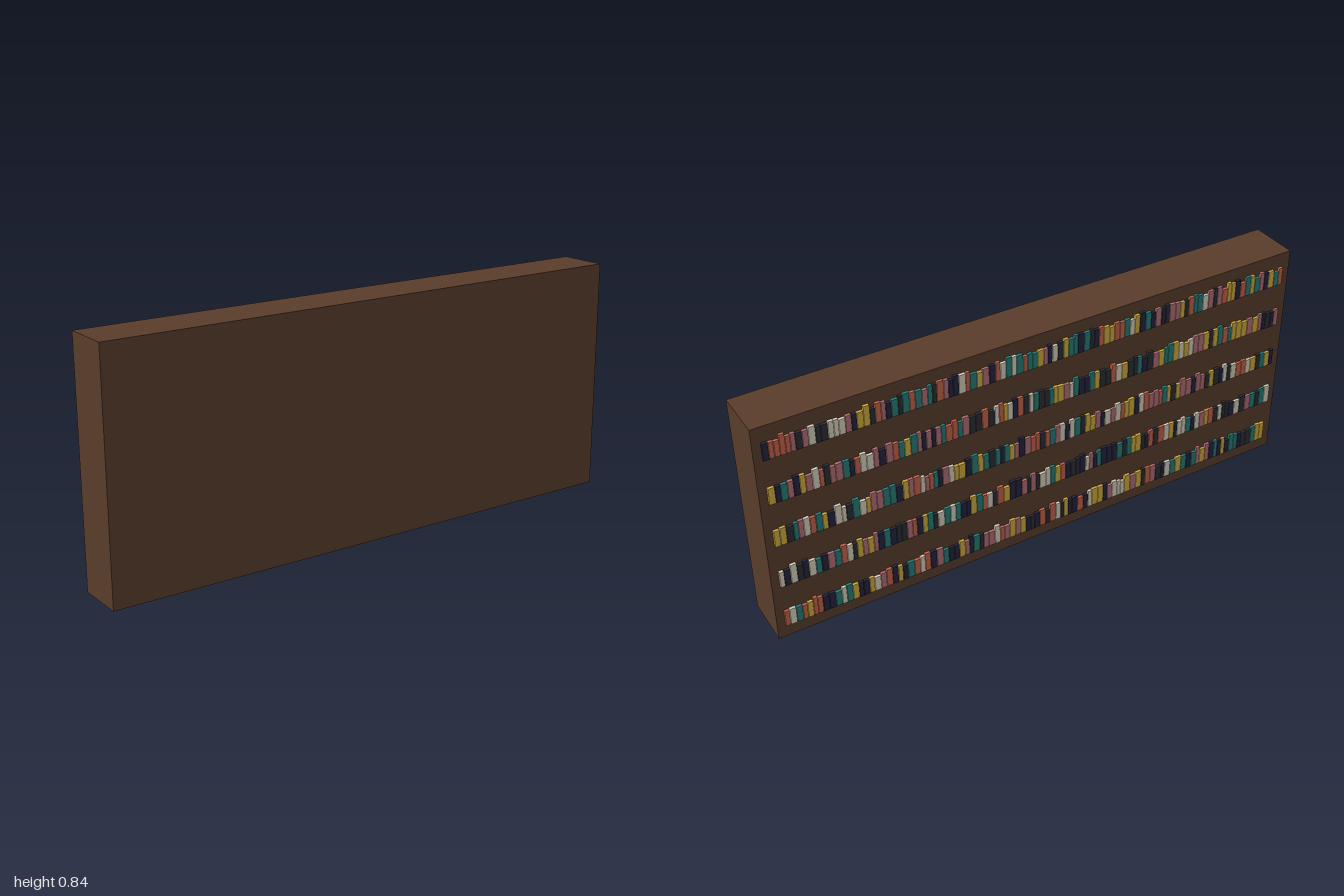
import * as THREE from 'three';

const CASE = { width: 2, height: 0.84, front: 0.095, back: -0.083 };
const ROWS = 5, ROW_BASE = 0.05, ROW_STEP = 0.168;
const BOOK_FACE = -0.093, BOOK_DEPTH = 0.04;

// navy, yellow, cream, coral, teal, rose, charcoal
const COLORS = [0x25253f, 0xd4b040, 0xdcd3c0, 0xc8654d, 0x2a7f7a, 0xb57078, 0x2b2f33];
const END_COLORS = [3, 2, 1, 1, 0]; // colour of the book at the +x end, bottom row first

function seededRandom(seed) {
  return () => {
    seed = (seed * 1664525 + 1013904223) % 4294967296;
    return seed / 4294967296;
  };
}

export function createModel() {
  const model = new THREE.Group();
  model.name = 'bookcase';

  // Solid case
  const depth = CASE.front - CASE.back;
  const body = new THREE.Mesh(
    new THREE.BoxGeometry(CASE.width, CASE.height, depth),
    new THREE.MeshStandardMaterial({ color: 0x5a3d2b })
  );
  body.name = 'caseBody';
  body.position.set(0, CASE.height / 2, (CASE.front + CASE.back) / 2);
  model.add(body);

  // Rows of books whose spines stand slightly proud of the case
  const unit = new THREE.BoxGeometry(1, 1, 1);
  const materials = COLORS.map(color => new THREE.MeshStandardMaterial({ color }));
  const random = seededRandom(17);

  for (let row = 0; row < ROWS; row++) {
    const shelf = new THREE.Group();
    shelf.name = `bookRow${row + 1}`;
    shelf.position.y = ROW_BASE + row * ROW_STEP;

    let x = 0.972;
    for (let i = 0; x > -0.96; i++) {
      const width = 0.013 + random() * 0.01;
      const height = i === 0 ? 0.062 : 0.056 + random() * 0.019;
      const pick = i === 0 ? END_COLORS[row] : Math.floor(random() * COLORS.length);
      const book = new THREE.Mesh(unit, materials[pick]);
      book.name = 'book';
      book.scale.set(width, height, BOOK_DEPTH);
      book.position.set(x - width / 2, height / 2, BOOK_FACE + BOOK_DEPTH / 2);
      shelf.add(book);
      x -= width + 0.002;
    }
    model.add(shelf);
  }
  return model;
}
